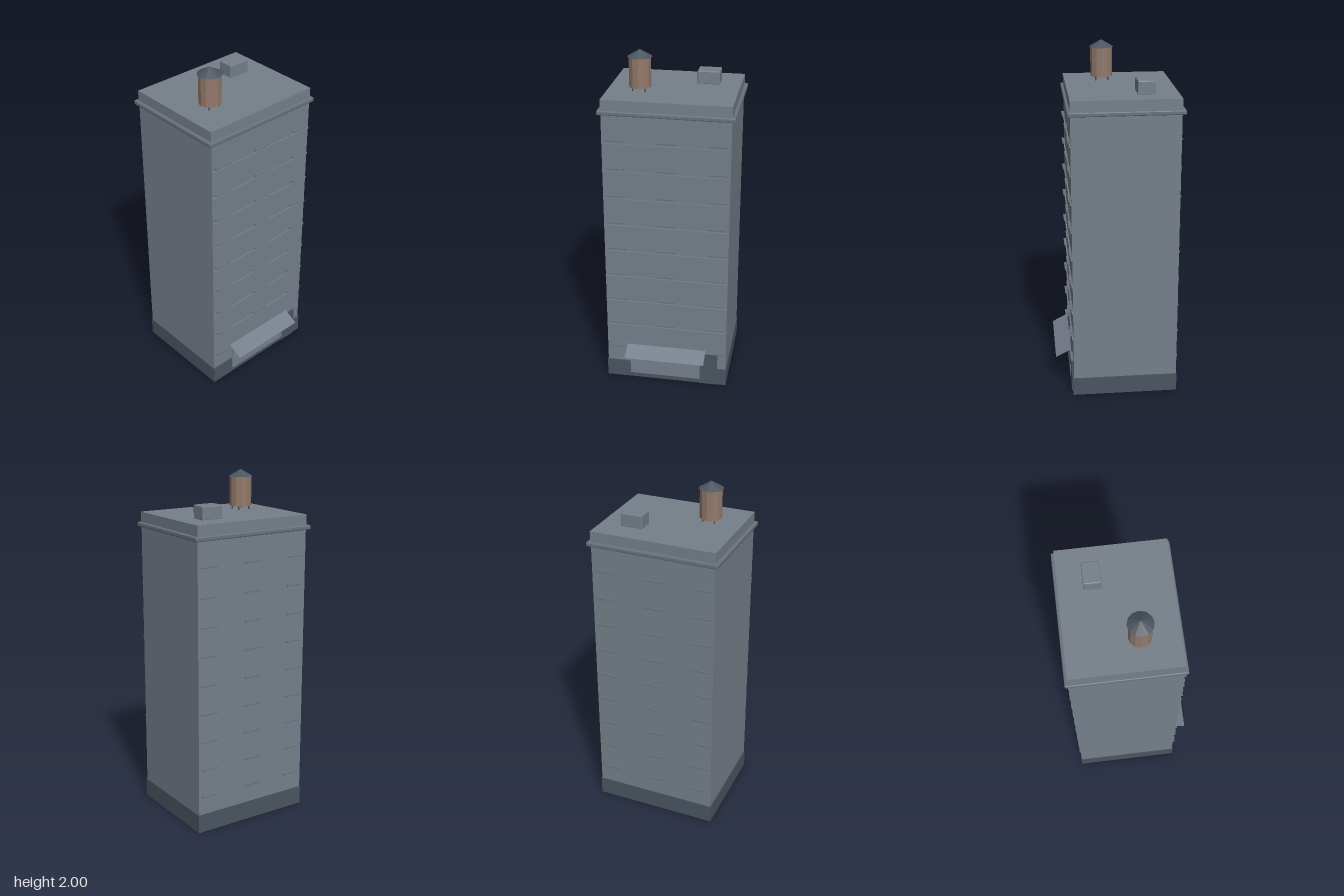
import * as THREE from 'three';
import { RoundedBoxGeometry } from 'three/addons/geometries/RoundedBoxGeometry.js';

const material = (name, color) => {
  const m = new THREE.MeshStandardMaterial({ color });
  m.name = name;
  return m;
};

// Faceted normals for low-poly parts
const faceted = (geometry) => {
  const g = geometry.index ? geometry.toNonIndexed() : geometry;
  g.computeVertexNormals();
  return g;
};

export function createModel() {
  const model = new THREE.Group();
  model.name = 'towerBlock';

  const wall = material('wall grey', 0x76808a);
  const trim = material('trim grey', 0x69737d);
  const dark = material('dark slate', 0x4b5560);
  const wood = material('tank wood', 0x947a6c);
  const canvas = material('awning grey', 0x747d8a);
  canvas.side = THREE.DoubleSide;

  const add = (name, geometry, mat, x = 0, y = 0, z = 0, parent = model) => {
    const mesh = new THREE.Mesh(geometry, mat);
    mesh.name = name;
    mesh.position.set(x, y, z);
    parent.add(mesh);
    return mesh;
  };

  // Box given by its min and max on each axis, optionally with chamfered edges
  const box = (name, mat, [x0, x1], [y0, y1], [z0, z1], chamfer = 0, parent = model) => {
    const size = [x1 - x0, y1 - y0, z1 - z0];
    const geometry = chamfer
      ? faceted(new RoundedBoxGeometry(...size, 1, chamfer))
      : new THREE.BoxGeometry(...size);
    return add(name, geometry, mat, (x0 + x1) / 2, (y0 + y1) / 2, (z0 + z1) / 2, parent);
  };

  const front = 0.262;
  const back = -0.342;

  // Main volumes
  box('body', wall, [-0.36, 0.36], [0, 1.7], [back, front]);
  box('plinth', dark, [-0.364, 0.364], [0.001, 0.11], [-0.345, 0.268]);
  box('cornice', trim, [-0.38, 0.38], [1.685, 1.711], [-0.362, 0.278], 0.006);
  box('parapet', wall, [-0.362, 0.362], [1.7, 1.77], [-0.344, 0.263]);

  // Window sills front and back, with a belt course below each upper row
  const sills = new THREE.Group();
  sills.name = 'windowSills';
  const belts = new THREE.Group();
  belts.name = 'beltCourses';
  model.add(sills, belts);
  for (let row = 0; row < 9; row++) {
    const y = 0.217 + row * 0.1654;
    for (const x of [-0.288, 0, 0.288]) {
      const span = [x - 0.052, x + 0.052];
      const height = [y - 0.004, y + 0.004];
      box('frontSill', trim, span, height, [front - 0.005, 0.278], 0, sills);
      box('backSill', trim, span, height, [-0.35, back + 0.005], 0, sills);
    }
    if (row > 0) {
      box('beltCourse', wall, [-0.36, 0.36], [y - 0.025, y - 0.017], [front - 0.005, 0.269], 0, belts);
    }
  }

  // Shopfront: window panel, door and sloping awning
  box('shopWindow', wall, [-0.22, 0.206], [0.032, 0.2], [0.267, 0.275]);
  box('door', dark, [0.2, 0.31], [0.002, 0.211], [0.264, 0.273]);
  const awning = add('awning', new THREE.PlaneGeometry(0.476, Math.hypot(0.09, 0.046)),
    canvas, 0, 0.212, 0.316);
  awning.rotation.x = -Math.atan2(0.09, 0.046);

  // Roof hut
  box('roofHut', wall, [0.115, 0.243], [1.766, 1.845], [-0.21, -0.114], 0.006);

  // Water tank on four legs
  const tank = new THREE.Group();
  tank.name = 'waterTank';
  tank.position.set(-0.181, 0, 0.048);
  model.add(tank);
  add('tankBarrel', faceted(new THREE.CylinderGeometry(0.063, 0.063, 0.168, 12)), wood, 0, 1.875, 0, tank);
  add('tankRoof', faceted(new THREE.ConeGeometry(0.07, 0.041, 12)), dark, 0, 1.9795, 0, tank);
  for (const x of [-0.035, 0.035]) {
    for (const z of [-0.035, 0.035]) {
      add('tankLeg', new THREE.CylinderGeometry(0.004, 0.004, 0.03, 6), dark, x, 1.78, z, tank);
    }
  }

  return model;
}
